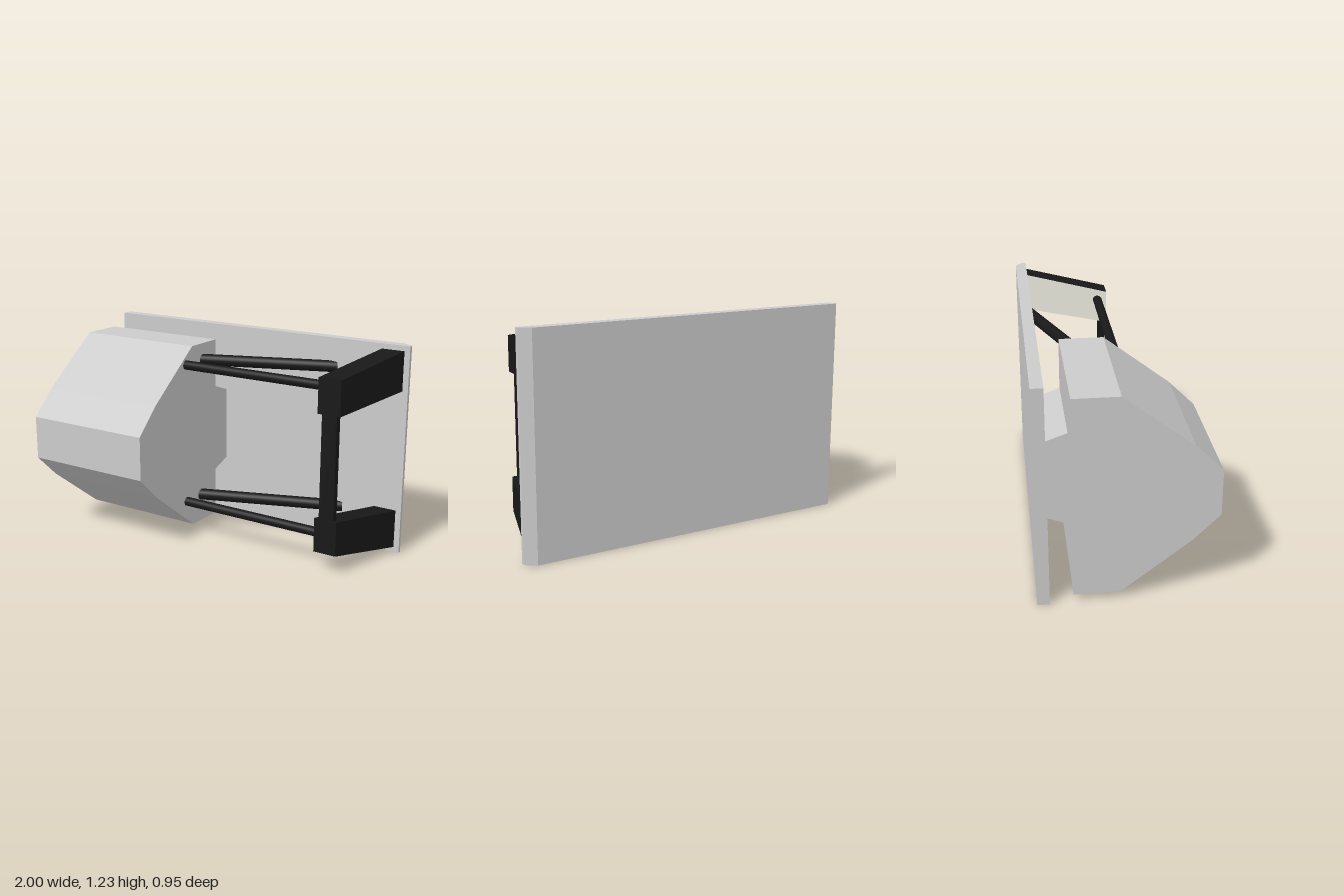
import * as THREE from 'three';

const H = 1.225; // overall height
const grey = new THREE.MeshStandardMaterial({ color: 0xcccccc });
const black = new THREE.MeshStandardMaterial({ color: 0x181818 });
const pale = new THREE.MeshStandardMaterial({ color: 0xe6e6da });

function shapeFrom(points) {
  return new THREE.Shape(points.map(([a, b]) => new THREE.Vector2(a, b)));
}

// Prism with a [z, y] side profile, running from x0 to x1
function sideProfile(points, x0, x1) {
  const shape = shapeFrom(points.map(([z, y]) => [-z, y]));
  return new THREE.ExtrudeGeometry(shape, { depth: x1 - x0, bevelEnabled: false })
    .rotateY(Math.PI / 2).translate(x0, 0, 0);
}

// Box whose front and back ends have their own x and y ranges
function taperedBox(front, back) {
  const geo = new THREE.BoxGeometry(1, 1, 1);
  const pos = geo.attributes.position;
  for (let i = 0; i < pos.count; i++) {
    const end = pos.getZ(i) > 0 ? front : back;
    pos.setXYZ(i, end.x[pos.getX(i) > 0 ? 1 : 0], end.y[pos.getY(i) > 0 ? 1 : 0], end.z);
  }
  geo.computeVertexNormals();
  return geo;
}

// Round bar between two points
function bar(from, to, radius) {
  const a = new THREE.Vector3(...from), b = new THREE.Vector3(...to);
  const dir = b.clone().sub(a);
  const geo = new THREE.CylinderGeometry(radius, radius, dir.length(), 24);
  const q = new THREE.Quaternion().setFromUnitVectors(new THREE.Vector3(0, 1, 0), dir.normalize());
  return geo.applyQuaternion(q).translate((a.x + b.x) / 2, (a.y + b.y) / 2, (a.z + b.z) / 2);
}

export function createModel() {
  const model = new THREE.Group();
  const add = (name, geometry, material) => {
    const mesh = new THREE.Mesh(geometry, material);
    mesh.name = name;
    model.add(mesh);
  };

  // Back plate, chamfered along one rear edge
  const plate = shapeFrom([[-1, 0.41], [1, 0.41], [1, 0.433], [0.94, 0.475], [-1, 0.475]]);
  add('backPlate', new THREE.ExtrudeGeometry(plate, { depth: H, bevelEnabled: false })
    .rotateX(-Math.PI / 2), grey);

  // Faceted housing and the narrower neck joining it to the plate
  add('housing', sideProfile([
    [0.475, 0.47], [0.475, 0.725], [0.33, 0.87], [-0.04, 1.155], [-0.285, 1.155],
    [-0.285, 0.04], [-0.04, 0.04], [0.33, 0.327],
  ], -0.983, -0.2), grey);
  add('neck', sideProfile([
    [-0.285, 0.33], [-0.285, 0.865], [-0.41, 0.82], [-0.41, 0.375],
  ], -0.76, -0.2), grey);

  // Slanted arms, mirrored top and bottom, with pale inner faces
  const armMaterials = [black, pale, black, black, black, black];
  for (const upper of [true, false]) {
    const range = (lo, hi) => (upper ? [lo, hi] : [H - hi, H - lo]);
    add(upper ? 'upperArm' : 'lowerArm', taperedBox(
      { x: [0.697, 0.832], y: range(0.91, 1.11), z: 0.08 },
      { x: [0.832, 0.967], y: range(0.967, 1.195), z: -0.41 },
    ), armMaterials);
  }

  // Post between the arms
  add('post', new THREE.BoxGeometry(0.09, 0.66, 0.038).translate(0.763, H / 2, 0.05), black);

  // Straight rails and diagonal braces
  for (const [level, y, z, x] of [['upper', 1.055, -0.155, 0.505], ['lower', 0.21, -0.13, 0.57]]) {
    add(level + 'Rail', bar([-0.22, y, 0.025], [0.73, y, 0.025], 0.027), black);
    const slope = (-0.41 - z) / (x + 0.2);
    add(level + 'Brace', bar([-0.25, y, z - 0.05 * slope], [x + 0.05, y, -0.41 + 0.05 * slope], 0.034), black);
  }
  return model;
}
